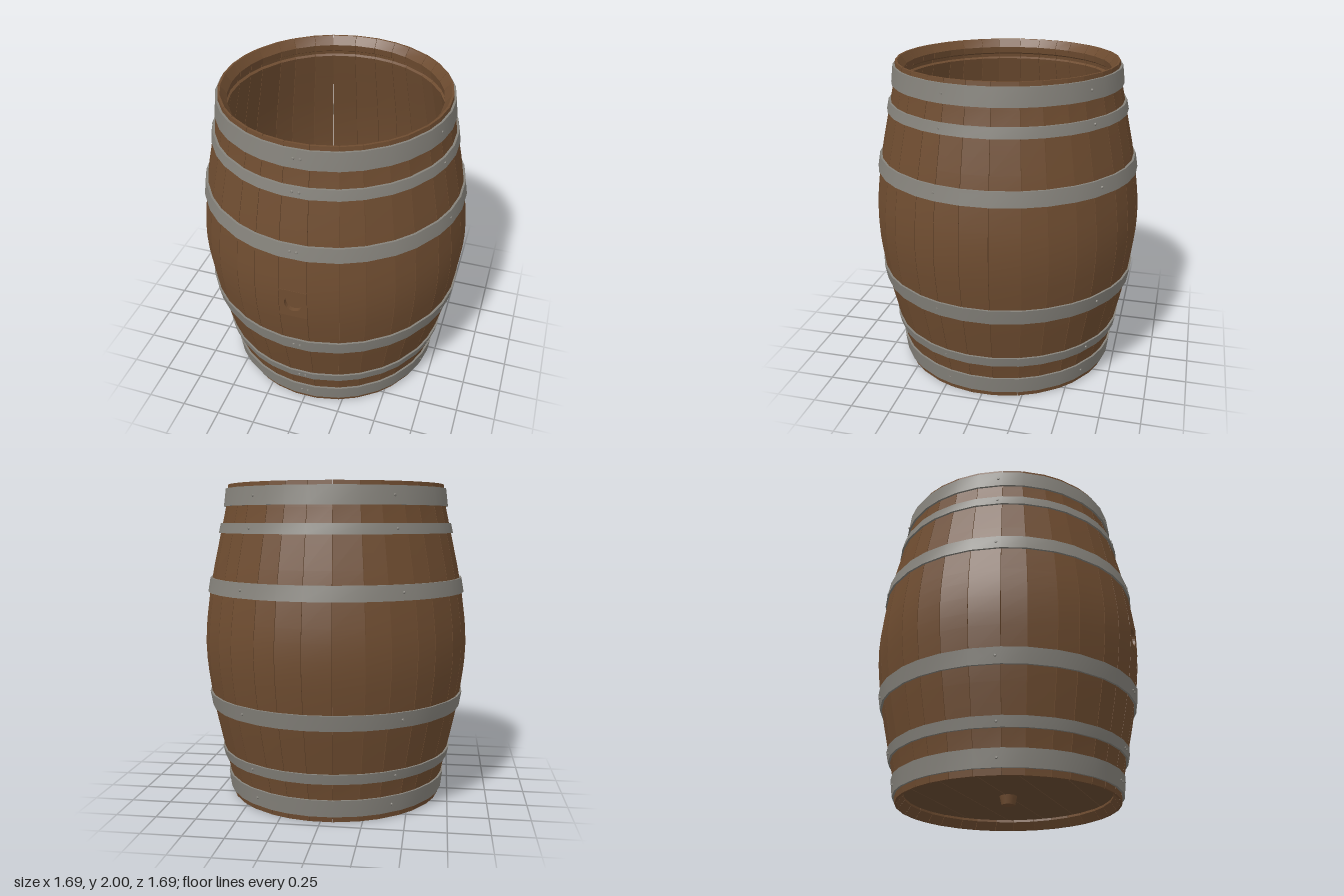
import * as THREE from 'three';
import { mergeGeometries, toCreasedNormals } from 'three/addons/utils/BufferGeometryUtils.js';

const rad = THREE.MathUtils.degToRad;
const wood = new THREE.MeshStandardMaterial({ name: 'stave wood', color: 0x6e4c30 });
const headWood = new THREE.MeshStandardMaterial({ name: 'head wood', color: 0x684b32 });
const iron = new THREE.MeshStandardMaterial({ name: 'hoop iron', color: 0x85827b });

// Stave joints in degrees from the front; the uneven widths repeat every quarter turn
const quarter = [-5.5, 6.3, 19.1, 29.5, 41.5, 51, 64, 73.5];
const joints = [0, 90, 180, 270].flatMap((q) => quarter.map((a) => a + q));
joints.push(354.5);

// Outer radius of the barrel, mirrored about mid height
const belly = [[0, 0.69], [0.15, 0.709], [0.3, 0.742], [0.5, 0.786], [0.65, 0.815], [0.82, 0.838], [0.9, 0.846], [1, 0.85]];
function radiusAt(y) {
  const d = Math.min(y, 2 - y);
  const i = Math.max(1, belly.findIndex((p) => p[0] >= d));
  const [y0, r0] = belly[i - 1];
  const [y1, r1] = belly[i];
  return r0 + ((r1 - r0) * (d - y0)) / (y1 - y0);
}
const levels = [...belly.map((p) => p[0]), ...belly.slice(0, -1).reverse().map((p) => 2 - p[0])];

// Closed [radius, y] outline of a stave from yA to yB, counter-clockwise
function staveOutline(yA, yB) {
  const ys = levels.filter((y) => y >= yA - 1e-6 && y <= yB + 1e-6);
  const outer = ys.map((y) => [radiusAt(y), y]);
  const inner = ys.filter((y) => y > 0.1 && y < 1.9).reverse().map((y) => [radiusAt(y) - 0.055, y]);
  // chamfered lip and groove at each end
  const lip = [[0.677, 0], [0.64, 0.05], [0.645, 0.09], [0.662, 0.1], [0.664, 0.12], [0.65, 0.13]];
  const top = yB > 1.99 ? lip.map(([r, y]) => [r, 2 - y]) : [];
  const bottom = yA < 0.01 ? [...lip].reverse() : [];
  return [...outer, ...top, ...inner, ...bottom];
}

// Sweep a closed outline round the barrel through a list of angles
function sweep(outline, angles, capped) {
  const pos = [];
  const at = ([r, y], a) => [r * Math.sin(rad(a)), y, r * Math.cos(rad(a))];
  const tri = (...pts) => pts.forEach((p) => pos.push(...p));
  for (let k = 0; k < angles.length - 1; k++) {
    const [a, b] = [angles[k], angles[k + 1]];
    outline.forEach((p, i) => {
      const q = outline[(i + 1) % outline.length];
      tri(at(p, a), at(p, b), at(q, b));
      tri(at(p, a), at(q, b), at(q, a));
    });
  }
  if (capped) {
    const first = angles[0];
    const last = angles[angles.length - 1];
    const flat = outline.map(([r, y]) => new THREE.Vector2(r, y));
    for (const [i, j, k] of THREE.ShapeUtils.triangulateShape(flat, [])) {
      tri(at(outline[i], first), at(outline[j], first), at(outline[k], first));
      tri(at(outline[k], last), at(outline[j], last), at(outline[i], last));
    }
  }
  const g = new THREE.BufferGeometry();
  g.setAttribute('position', new THREE.Float32BufferAttribute(pos, 3));
  return g;
}

export function createModel() {
  const group = new THREE.Group();
  group.name = 'barrel';
  const add = (name, geometry, material) => {
    const mesh = new THREE.Mesh(geometry, material);
    mesh.name = name;
    group.add(mesh);
    return mesh;
  };

  // Staves with hairline gaps; the front one is split round the bung hole
  const gap = 0.11;
  const staves = [];
  for (let i = 0; i < joints.length - 1; i++) {
    const span = [joints[i] + gap, joints[i + 1] - gap];
    const parts = i === 0 ? [[0, 0.9], [1.1, 2]] : [[0, 2]];
    parts.forEach(([a, b]) => staves.push(sweep(staveOutline(a, b), span, true)));
  }
  add('staves', toCreasedNormals(mergeGeometries(staves), 0.17), wood);

  // Bung hole block and its sunken plug
  const block = new THREE.Shape();
  block.moveTo(-0.086, -0.1).lineTo(0.086, -0.1).lineTo(0.086, 0.1).lineTo(-0.086, 0.1).closePath();
  block.holes.push(new THREE.Path().absarc(0, 0, 0.055, 0, Math.PI * 2, true));
  const blockGeo = new THREE.ExtrudeGeometry(block, { depth: 0.055, bevelEnabled: false, curveSegments: 12 });
  const hole = add('bungHole', blockGeo, wood);
  hole.rotation.y = rad(0.4);
  hole.position.set(0.0055, 1, 0.789);
  const plug = add('bungPlug', new THREE.CylinderGeometry(0.056, 0.056, 0.025, 24), wood);
  plug.rotation.x = Math.PI / 2;
  plug.position.set(0.0055, 1, 0.805);

  // Bottom head of six planks cut to a circle
  const R = 0.655;
  const cuts = [-R, -0.47, -0.24, 0, 0.225, 0.455, R];
  for (let i = 0; i < 6; i++) {
    const z0 = cuts[i] + 0.002;
    const z1 = cuts[i + 1] - 0.002;
    const side = [];
    for (let s = 0; s <= 8; s++) {
      const z = z0 + ((z1 - z0) * s) / 8;
      side.push(new THREE.Vector2(Math.sqrt(R * R - z * z), -z));
    }
    const mirrored = side.map((p) => new THREE.Vector2(-p.x, p.y)).reverse();
    const geo = new THREE.ExtrudeGeometry(new THREE.Shape([...side, ...mirrored]), { depth: 0.035, bevelEnabled: false });
    geo.rotateX(-Math.PI / 2);
    add('headPlank' + (i + 1), geo, headWood).position.y = 0.065;
  }

  // Plug under the head
  add('headPlug', new THREE.CylinderGeometry(0.056, 0.042, 0.06, 12), wood).position.y = 0.04;

  // Iron hoops with rivets every fifth of a turn, paired at the front seam
  const hoops = [[0.037, 0.143], [0.25, 0.313], [0.59, 0.685], [1.33, 1.42], [1.7, 1.762], [1.865, 1.975]];
  const rivets = [];
  hoops.forEach(([y0, y1], i) => {
    const r0 = radiusAt(y0);
    const r1 = radiusAt(y1);
    const t = 0.013;
    const outline = [[r0 - 0.004, y0], [r0 + t, y0], [r1 + t, y1], [r1 - 0.004, y1]];
    add('hoop' + (i + 1), toCreasedNormals(sweep(outline, joints, false), 0.5), iron);
    const r = ((r0 + r1) / 2 + t) * 0.996;
    const seam = THREE.MathUtils.radToDeg(0.03 / r);
    for (const a of [-seam / 3, seam, 73, 145, 216, 287]) {
      const g = new THREE.CylinderGeometry(0.006, 0.011, 0.012, 8);
      g.rotateX(Math.PI / 2);
      g.translate(0, (y0 + y1) / 2, r);
      g.rotateY(rad(a));
      rivets.push(g);
    }
  });
  add('rivets', mergeGeometries(rivets), iron);

  return group;
}
